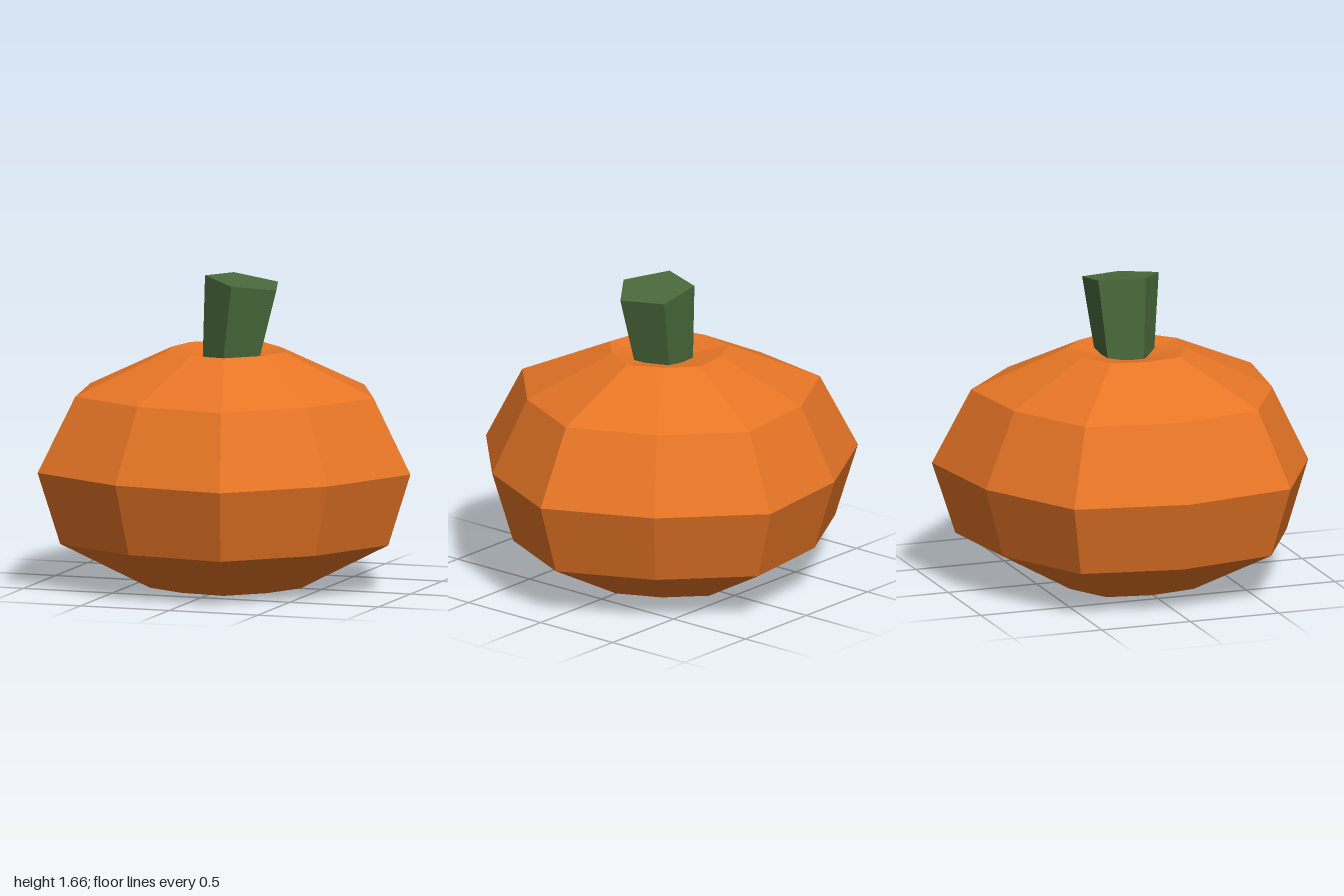
import * as THREE from 'three';

const orange = new THREE.MeshStandardMaterial({ name: 'pumpkin orange', color: 0xe87626 });
const green = new THREE.MeshStandardMaterial({ name: 'stem green', color: 0x4a6a3c });

// Split shared corners so every facet is shaded flat
function faceted(geometry) {
  const flat = geometry.toNonIndexed();
  flat.computeVertexNormals();
  return flat;
}

function part(name, geometry, material) {
  const mesh = new THREE.Mesh(faceted(geometry), material);
  mesh.name = name;
  return mesh;
}

// Ten-sided body with alternating ridges and grooves, flat base and dipped crown
function bodyGeometry() {
  const sides = 10, ridge = 1.04, groove = 0.957;
  const profile = [[0, 0], [0.405, 0], [0.88, 0.255], [1, 0.64], [0.8, 1.04], [0.318, 1.26], [0, 1.2]]
    .map(([r, y]) => new THREE.Vector2(r, y));
  const geometry = new THREE.LatheGeometry(profile, sides, Math.PI / 2);
  const pos = geometry.attributes.position;
  for (let i = 0; i < pos.count; i++) {
    const column = Math.floor(i / profile.length);
    const k = column % 2 === 0 ? ridge : groove;
    pos.setXYZ(i, pos.getX(i) * k, pos.getY(i), pos.getZ(i) * k);
  }
  return geometry;
}

export function createModel() {
  const model = new THREE.Group();
  model.name = 'pumpkin';

  const body = part('body', bodyGeometry(), orange);
  body.position.x = -0.04;
  model.add(body);

  // Five-sided stem, wider at the top and leaning to the side
  const length = 0.5;
  const stemGeometry = new THREE.CylinderGeometry(0.214, 0.155, length, 5);
  stemGeometry.translate(0, -length / 2, 0);
  const stem = part('stem', stemGeometry, green);
  stem.position.set(0.067, 1.63, 0);
  stem.rotation.z = -0.153;
  model.add(stem);

  return model;
}
